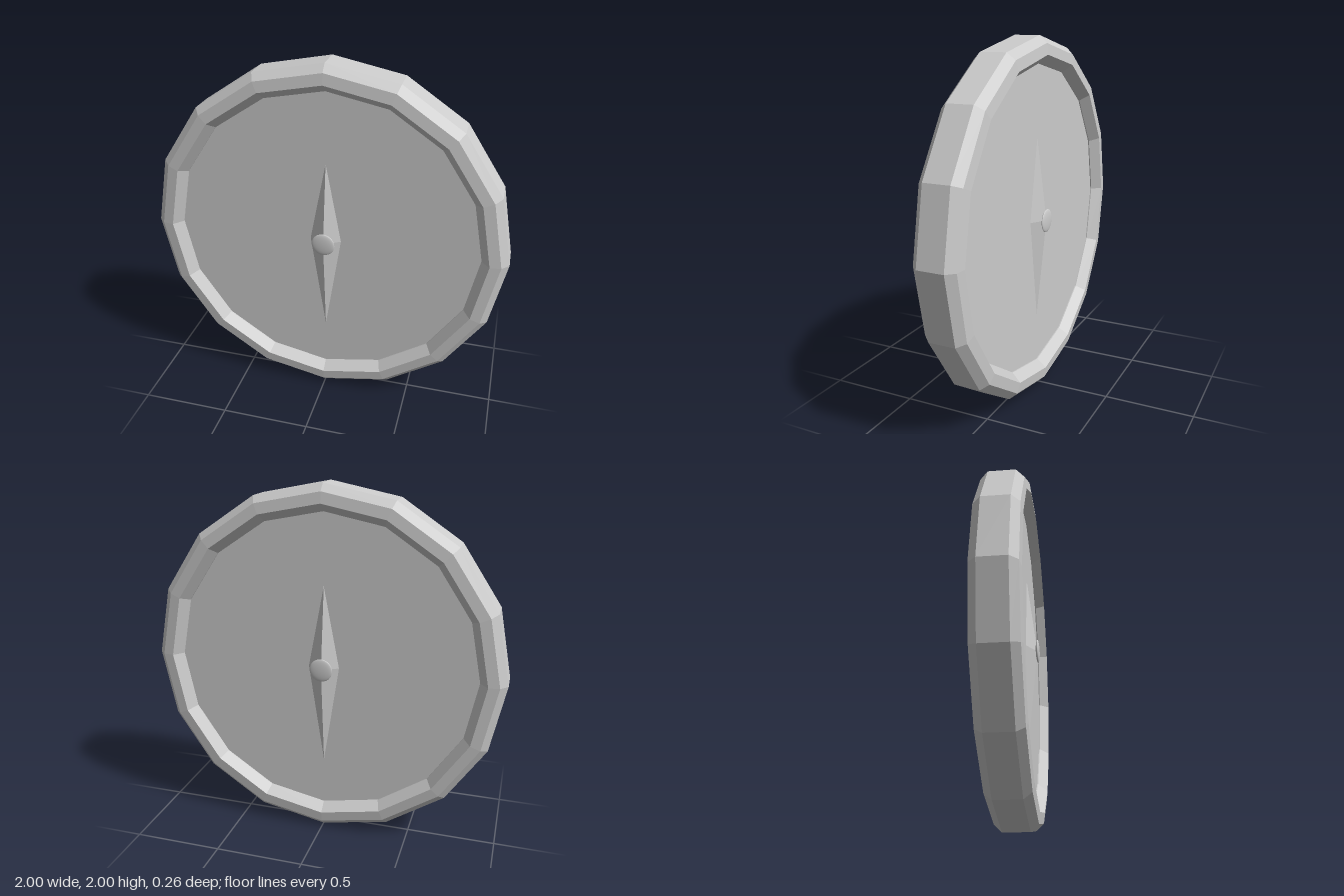
import * as THREE from 'three';

const SIDES = 16;

// Faceted normals baked into the geometry
function faceted(geometry) {
  const g = geometry.toNonIndexed();
  g.computeVertexNormals();
  return g;
}

// Shallow four-faced pyramid lying on a dial face, pointing along +z
function needleGeometry() {
  const top = [0, 0.46, 0], bottom = [0, -0.575, 0];
  const right = [0.087, 0, 0], left = [-0.087, 0, 0], peak = [0, 0, 0.057];
  const faces = [right, top, peak, top, left, peak, left, bottom, peak, bottom, right, peak];
  const g = new THREE.BufferGeometry();
  g.setAttribute('position', new THREE.Float32BufferAttribute(faces.flat(), 3));
  g.computeVertexNormals();
  return g;
}

export function createModel() {
  const model = new THREE.Group();
  model.name = 'compass';

  const grey = new THREE.MeshStandardMaterial({ color: 0xcccccc });
  grey.name = 'light grey';

  const add = (name, geometry, parent) => {
    const mesh = new THREE.Mesh(geometry, grey);
    mesh.name = name;
    parent.add(mesh);
    return mesh;
  };

  const body = new THREE.Group();
  body.name = 'body';
  body.position.y = 1;
  model.add(body);

  // Bevelled rim: half profile (radius, depth), mirrored front to back
  const half = [[0.855, 0.06], [0.855, 0.068], [0.9, 0.122], [0.96, 0.115], [1, 0.073]];
  const profile = [
    ...half.map(([r, d]) => new THREE.Vector2(r, -d)),
    ...half.slice().reverse().map(([r, d]) => new THREE.Vector2(r, d)),
  ];
  add('rim', faceted(new THREE.LatheGeometry(profile, SIDES).rotateX(Math.PI / 2)), body);

  // Dial plate filling the rim
  add('dial', faceted(new THREE.CylinderGeometry(0.857, 0.857, 0.124, SIDES).rotateX(Math.PI / 2)), body);

  // Needle and domed hub on both faces
  for (const [side, turn] of [['front', 0], ['back', Math.PI]]) {
    const face = new THREE.Group();
    face.name = side + 'Needle';
    face.rotation.y = turn;
    body.add(face);
    add('needle', needleGeometry(), face).position.z = 0.062;
    const hub = add('hub', new THREE.SphereGeometry(0.065, 32, 12), face);
    hub.scale.z = 0.16;
    hub.position.z = 0.121;
  }
  return model;
}
